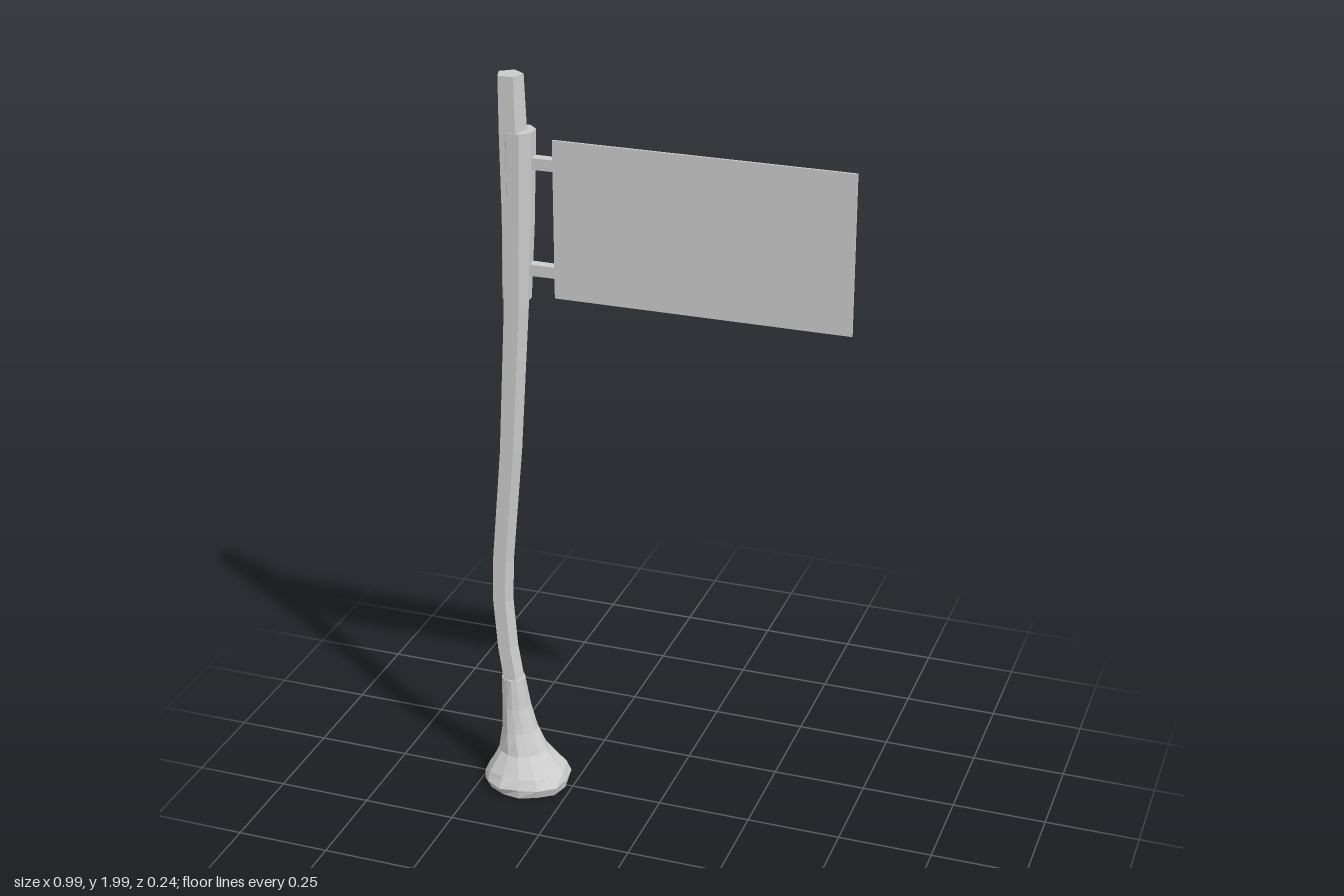
import * as THREE from 'three';

const material = new THREE.MeshStandardMaterial({ color: 0xcccccc, flatShading: true });

function addMesh(group, name, geometry) {
  const mesh = new THREE.Mesh(geometry, material);
  mesh.name = name;
  group.add(mesh);
  return mesh;
}

// Capped loft through horizontal rings [y, centreX, centreZ, radiusX, radiusZ], listed bottom to top.
function loft(rings, sides, turn = 0, bump = () => 1) {
  const points = [], index = [];
  rings.forEach(([y, cx, cz, rx, rz], r) => {
    for (let i = 0; i < sides; i++) {
      const a = turn + (i / sides) * Math.PI * 2;
      const k = bump(a, r);
      points.push(cx + Math.cos(a) * rx * k, y, cz + Math.sin(a) * rz * k);
    }
  });
  const last = rings.length - 1;
  for (let r = 0; r < last; r++) {
    for (let i = 0; i < sides; i++) {
      const j = (i + 1) % sides;
      const a = r * sides + i, b = r * sides + j, c = a + sides, d = b + sides;
      index.push(a, c, b, b, c, d);
    }
  }
  for (let i = 1; i < sides - 1; i++) {
    index.push(0, i, i + 1);
    index.push(last * sides, last * sides + i + 1, last * sides + i);
  }
  const geometry = new THREE.BufferGeometry();
  geometry.setAttribute('position', new THREE.Float32BufferAttribute(points, 3));
  geometry.setIndex(index);
  const flat = geometry.toNonIndexed();
  flat.computeVertexNormals();
  return flat;
}

export function createModel() {
  const group = new THREE.Group();
  group.name = 'bentSignPost';

  // Bent five-sided pole
  const pole = [
    [0.05, -0.385, 0.031], [0.3, -0.413, 0.03], [0.42, -0.431, 0.029],
    [0.56, -0.441, 0.029], [0.68, -0.437, 0.03], [1.0, -0.407, 0.031],
    [1.4, -0.382, 0.034], [1.62, -0.378, 0.036], [1.86, -0.379, 0.037], [2.0, -0.381, 0.034],
  ].map(([y, x, r]) => [y, x, 0, r, r]);
  addMesh(group, 'pole', loft(pole, 5, -Math.PI / 2));

  // Collar wrapped round the pole where the brackets are fixed
  addMesh(group, 'collar', loft([
    [1.42, -0.379, -0.006, 0.037, 0.036],
    [1.62, -0.371, -0.007, 0.041, 0.039],
    [1.86, -0.365, -0.008, 0.043, 0.044],
  ], 8, Math.PI / 8));

  // Lumpy flared foot
  const foot = [
    [0.01, -0.38, 0, 0.11, 0.108], [0.035, -0.38, 0, 0.118, 0.116],
    [0.06, -0.382, 0, 0.105, 0.1], [0.11, -0.391, 0, 0.068, 0.062],
    [0.17, -0.402, 0, 0.049, 0.047], [0.24, -0.411, 0, 0.039, 0.037],
    [0.325, -0.415, 0, 0.032, 0.03],
  ];
  const lumps = (a, r) => 1 + 0.04 * Math.sin(3 * a + r * 0.7) + 0.035 * Math.sin(5 * a - r * 1.9);
  addMesh(group, 'foot', loft(foot, 14, 0.1, lumps));

  // Thin sign panel, a little out of true
  const panel = addMesh(group, 'signPanel', new THREE.BoxGeometry(0.76, 0.408, 0.006));
  panel.position.set(0.11, 1.644, 0.009);
  panel.rotation.y = 0.003;

  // Two bracket bars behind the panel, slimmer towards the free end
  for (const [name, y] of [['upperBracket', 1.78], ['lowerBracket', 1.503]]) {
    const bar = new THREE.BoxGeometry(0.756, 0.03, 0.028);
    const p = bar.attributes.position;
    for (let i = 0; i < p.count; i++) {
      if (p.getX(i) > 0) {
        p.setY(i, p.getY(i) * 0.8);
        if (p.getZ(i) < 0) p.setZ(i, -0.005);
      }
    }
    bar.computeVertexNormals();
    addMesh(group, name, bar).position.set(0.038, y, -0.009);
  }

  return group;
}
